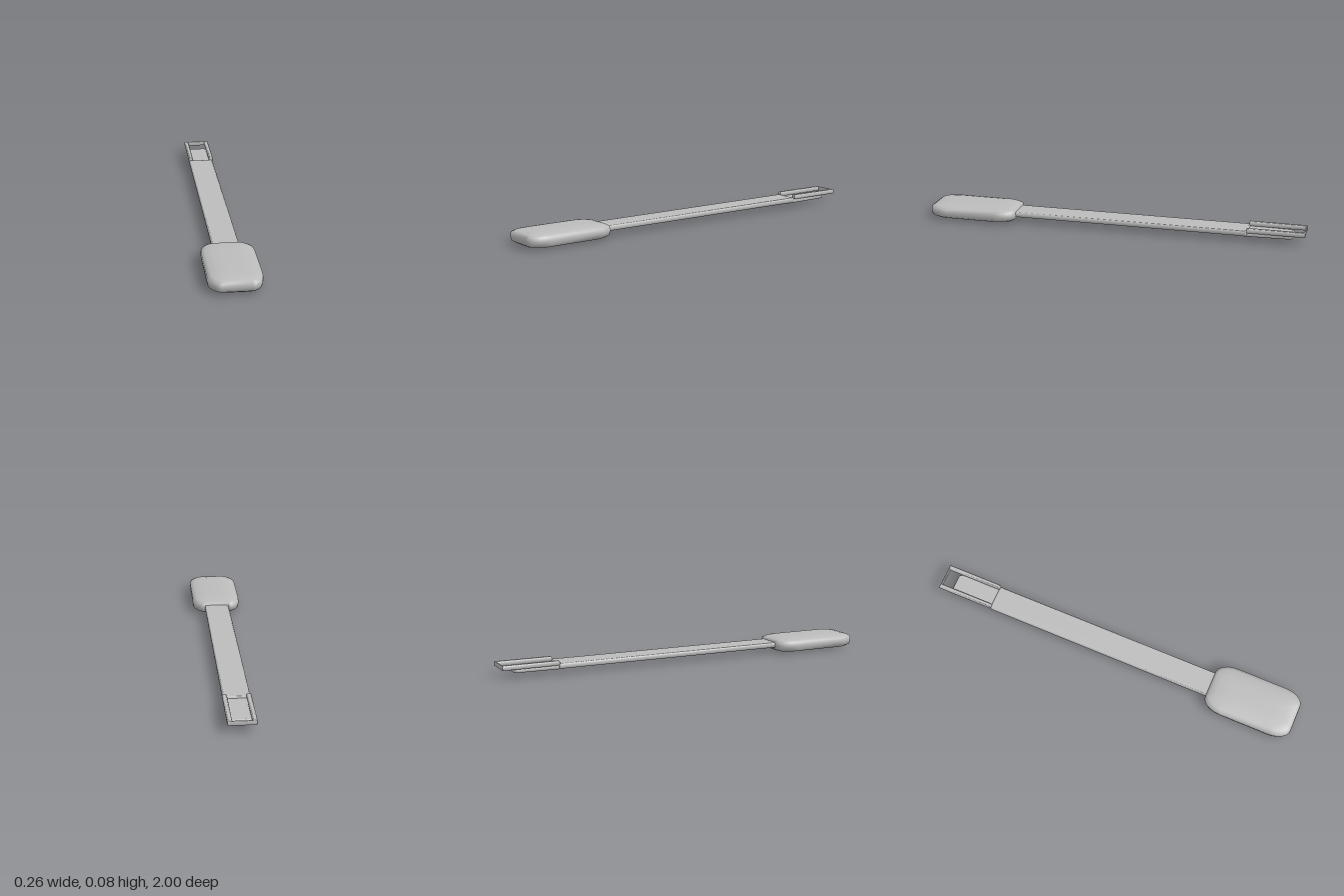
import * as THREE from 'three';

const grey = new THREE.MeshStandardMaterial({ color: 0xbcbcbc });
grey.name = 'plain grey';

// Outline of a rectangle with elliptical corners, as [x, z] pairs.
function roundedOutline(hx, hz, rx, rz, steps = 6) {
  const points = [];
  [[1, 1], [-1, 1], [-1, -1], [1, -1]].forEach(([sx, sz], q) => {
    for (let i = 0; i <= steps; i++) {
      const a = (q + i / steps) * Math.PI / 2;
      points.push([sx * (hx - rx) + rx * Math.cos(a), sz * (hz - rz) + rz * Math.sin(a)]);
    }
  });
  return points;
}

// Closed slab lofted upward through levels of [y, halfWidth, halfLength, rx, rz].
function slab(name, levels, z) {
  const pos = [], index = [];
  let n = 0;
  for (const [y, ...size] of levels) {
    const ring = roundedOutline(...size);
    n = ring.length;
    for (const [x, pz] of ring) pos.push(x, y, pz);
  }
  const top = levels.length - 1;
  const low = (top + 1) * n, high = low + 1;
  pos.push(0, levels[0][0], 0, 0, levels[top][0], 0);
  for (let i = 0; i < n; i++) {
    const j = (i + 1) % n;
    for (let k = 0; k < top; k++) {
      const a = k * n + i, b = k * n + j;
      index.push(a, a + n, b, b, a + n, b + n);
    }
    index.push(low, i, j, high, top * n + j, top * n + i);
  }
  const geo = new THREE.BufferGeometry();
  geo.setAttribute('position', new THREE.Float32BufferAttribute(pos, 3));
  geo.setIndex(index);
  geo.computeVertexNormals();
  const mesh = new THREE.Mesh(geo, grey);
  mesh.name = name;
  mesh.position.z = z;
  return mesh;
}

// Thin slab with softly rounded rims.
function strip(name, hx, z0, z1, y0, y1, bevel, r) {
  const hz = (z1 - z0) / 2, h = y1 - y0;
  const level = (t, inset) => [y0 + h * t, hx - inset, hz - inset, Math.max(r - inset, 0.001), Math.max(r - inset, 0.001)];
  return slab(name, [
    level(0, bevel * 1.3), level(0, bevel), level(0.12, bevel * 0.35), level(0.35, 0),
    level(0.65, 0), level(0.88, bevel * 0.35), level(1, bevel), level(1, bevel * 1.3),
  ], (z0 + z1) / 2);
}

export function createModel() {
  const model = new THREE.Group();
  model.name = 'paddle';

  // Pillow-shaped head
  model.add(slab('head', [
    [0, 0.045, 0.13, 0.03, 0.05],
    [0.003, 0.085, 0.185, 0.045, 0.07],
    [0.009, 0.112, 0.215, 0.055, 0.085],
    [0.02, 0.128, 0.232, 0.06, 0.1],
    [0.04, 0.131, 0.236, 0.06, 0.1],
    [0.06, 0.13, 0.234, 0.06, 0.1],
    [0.069, 0.112, 0.22, 0.055, 0.085],
    [0.075, 0.085, 0.19, 0.045, 0.07],
    [0.078, 0.045, 0.13, 0.03, 0.05],
  ], 0.764));

  // Long flat handle, its front end set into the head
  model.add(strip('handle', 0.067, -0.705, 0.58, 0.029, 0.056, 0.006, 0.01));

  // Tongue at the end of the handle, narrowing toward its tip
  const tongue = strip('tongue', 0.062, -0.937, -0.66, 0.026, 0.047, 0.006, 0.02);
  const p = tongue.geometry.attributes.position;
  for (let i = 0; i < p.count; i++) {
    const t = THREE.MathUtils.clamp(-p.getZ(i) / 0.14, 0, 1);
    p.setX(i, p.getX(i) * (1 - 0.18 * t));
  }
  tongue.geometry.computeVertexNormals();
  model.add(tongue);

  // Open U-shaped hanging loop
  const loop = new THREE.Group();
  loop.name = 'hangingLoop';
  for (const side of [-1, 1]) {
    const bar = strip('loopSide', 0.012, -1, -0.7, 0.047, 0.071, 0.005, 0.004);
    bar.position.x = side * 0.058;
    loop.add(bar);
  }
  loop.add(strip('loopEnd', 0.068, -1, -0.991, 0.048, 0.07, 0.002, 0.003));
  model.add(loop);

  return model;
}
